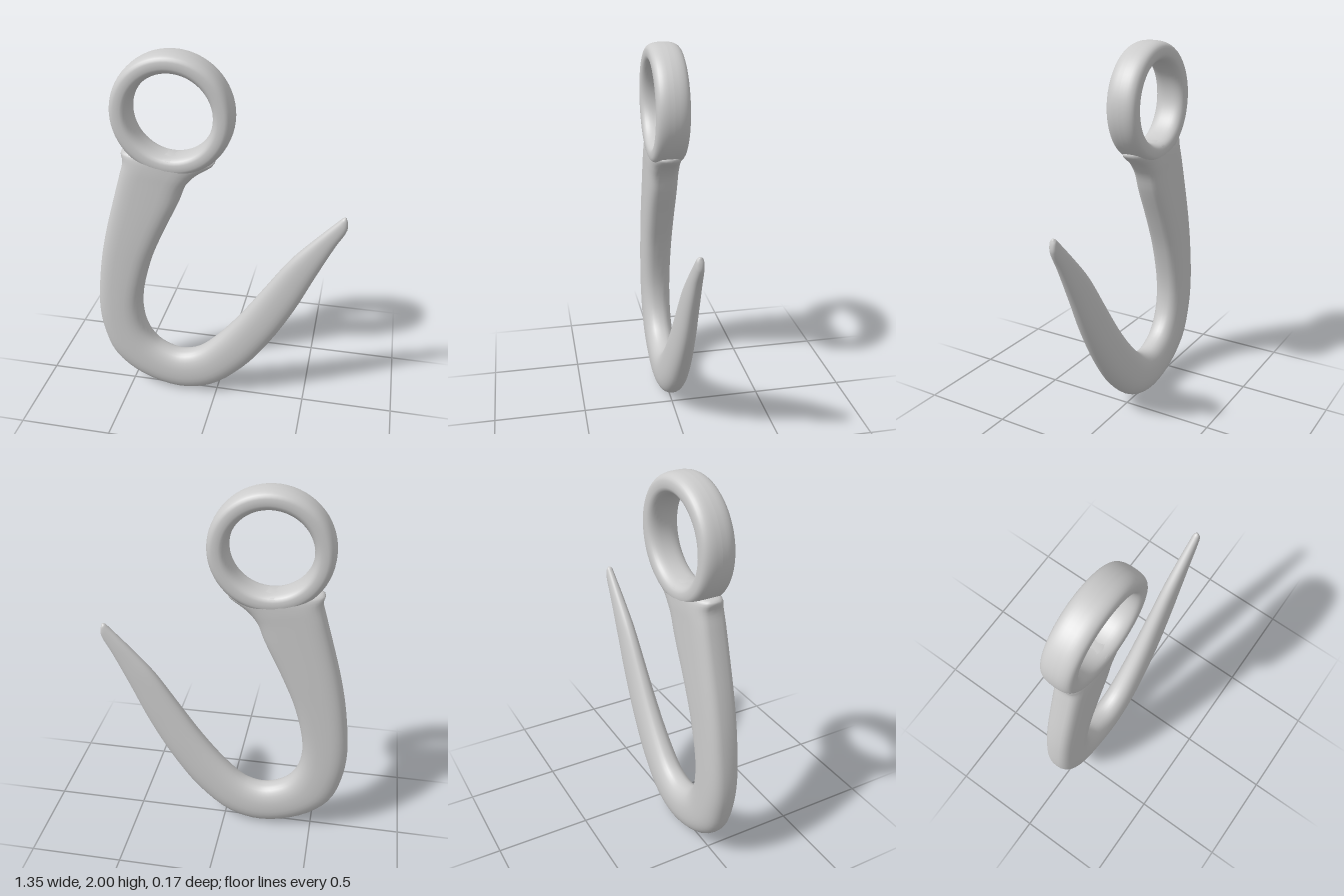
import * as THREE from 'three';

const material = new THREE.MeshStandardMaterial({ color: 0xcccccc });

// Rounded-box / ellipse outline: n = 2 is an ellipse, larger n is squarer
const superPoint = (a, n) => [Math.cos(a), Math.sin(a)].map(
  (v) => Math.sign(v) * Math.pow(Math.abs(v), 2 / n));

// Eye: a rounded section revolved into a ring
function createEye() {
  const profile = [];
  for (let i = 0; i <= 32; i++) {
    const [r, z] = superPoint((i / 32) * Math.PI * 2, 2.7);
    profile.push(new THREE.Vector2(0.2625 + 0.0525 * r, 0.086 * z));
  }
  const geometry = new THREE.LatheGeometry(profile, 64);
  geometry.rotateX(Math.PI / 2);
  const eye = new THREE.Mesh(geometry, material);
  eye.position.set(-0.225, 1.685, 0);
  eye.name = 'eye';
  return eye;
}

// Stations along the hook: outer x, y, inner x, y, half depth, squareness
const stations = [
  [-0.42, 1.485, -0.10, 1.47, 0.03, 2.6],
  [-0.497, 1.47, -0.01, 1.44, 0.078, 2.8],
  [-0.49, 1.42, -0.11, 1.365, 0.086, 3.2],
  [-0.51, 1.34, -0.165, 1.30, 0.086, 3.4],
  [-0.55, 1.20, -0.205, 1.20, 0.086, 3.4],
  [-0.61, 0.98, -0.30, 1.00, 0.086, 3.2],
  [-0.65, 0.78, -0.38, 0.80, 0.085, 3.0],
  [-0.675, 0.53, -0.43, 0.56, 0.084, 2.7],
  [-0.66, 0.37, -0.41, 0.40, 0.083, 2.5],
  [-0.60, 0.20, -0.35, 0.305, 0.082, 2.4],
  [-0.45, 0.07, -0.27, 0.26, 0.081, 2.3],
  [-0.22, 0.005, -0.20, 0.25, 0.080, 2.3],
  [-0.03, 0.045, -0.11, 0.28, 0.076, 2.3],
  [0.15, 0.19, 0.00, 0.38, 0.070, 2.3],
  [0.30, 0.39, 0.13, 0.54, 0.062, 2.3],
  [0.43, 0.62, 0.26, 0.73, 0.052, 2.3],
  [0.53, 0.84, 0.39, 0.92, 0.042, 2.3],
  [0.62, 1.03, 0.51, 1.055, 0.031, 2.3],
  [0.672, 1.13, 0.625, 1.175, 0.022, 2.2],
  [0.672, 1.17, 0.645, 1.195, 0.017, 2.2],
  [0.664, 1.197, 0.655, 1.20, 0.006, 2.0],
];

// Hook body: sections spanning an outer and an inner edge curve
function createHook() {
  const edge = (k) => new THREE.CatmullRomCurve3(
    stations.map((s) => new THREE.Vector3(s[k], s[k + 1], 0)));
  const sizes = new THREE.CatmullRomCurve3(
    stations.map((s) => new THREE.Vector3(s[4], s[5], 0)), false, 'catmullrom', 0.4);
  const outer = edge(0), inner = edge(2);
  const rows = (stations.length - 1) * 4, sides = 32;
  const positions = [], indices = [], centres = [];

  for (let i = 0; i <= rows; i++) {
    const o = outer.getPoint(i / rows), n = inner.getPoint(i / rows);
    const size = sizes.getPoint(i / rows);
    const centre = o.clone().add(n).multiplyScalar(0.5);
    const half = o.clone().sub(centre);
    centres.push(centre);
    for (let j = 0; j < sides; j++) {
      const [u, v] = superPoint((j / sides) * Math.PI * 2, size.y);
      positions.push(centre.x + half.x * u, centre.y + half.y * u, size.x * v);
    }
  }
  for (let i = 0; i < rows; i++) {
    for (let j = 0; j < sides; j++) {
      const k = (j + 1) % sides;
      const a = i * sides + j, b = i * sides + k;
      indices.push(a, a + sides, b, b, a + sides, b + sides);
    }
  }
  // End caps
  const first = positions.length / 3;
  positions.push(...centres[0].toArray(), ...centres[rows].toArray());
  for (let j = 0; j < sides; j++) {
    const k = (j + 1) % sides;
    indices.push(first, j, k, first + 1, rows * sides + k, rows * sides + j);
  }

  const geometry = new THREE.BufferGeometry();
  geometry.setAttribute('position', new THREE.Float32BufferAttribute(positions, 3));
  geometry.setIndex(indices);
  geometry.computeVertexNormals();
  const hook = new THREE.Mesh(geometry, material);
  hook.name = 'hookBody';
  return hook;
}

export function createModel() {
  const group = new THREE.Group();
  group.name = 'hook';
  group.add(createEye(), createHook());
  return group;
}
